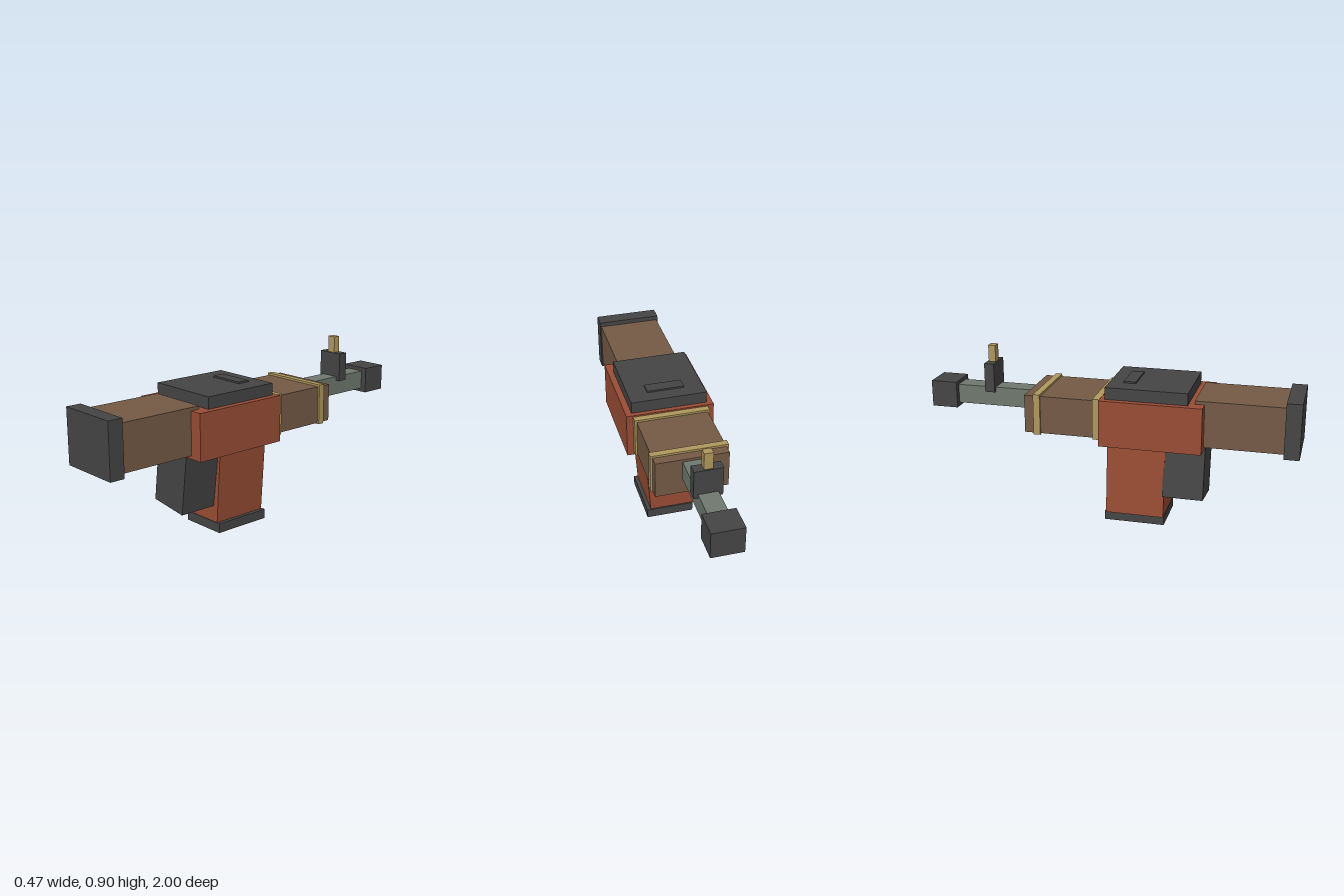
import * as THREE from 'three';

const material = (name, color) => {
  const m = new THREE.MeshStandardMaterial({ color });
  m.name = name;
  return m;
};

export function createModel() {
  const dark = material('darkMetal', 0x454545);
  const red = material('redBrown', 0x994d34);
  const wood = material('wood', 0x745a46);
  const brass = material('brass', 0xb0985d);
  const steel = material('greySteel', 0x6f786f);

  const model = new THREE.Group();
  model.name = 'blockRifle';

  // Box centred on x = 0, given its half width and its y and z ranges
  function block(name, mat, halfWidth, y0, y1, z0, z1) {
    const mesh = new THREE.Mesh(new THREE.BoxGeometry(halfWidth * 2, y1 - y0, z1 - z0), mat);
    mesh.position.set(0, (y0 + y1) / 2, (z0 + z1) / 2);
    mesh.name = name;
    model.add(mesh);
    return mesh;
  }

  // Box leaning sideways, placed by the middle of its bottom face
  function leaningBlock(name, mat, width, height, x, y, z0, z1, lean) {
    const geometry = new THREE.BoxGeometry(width, height, z1 - z0).translate(0, height / 2, 0);
    const mesh = new THREE.Mesh(geometry, mat);
    mesh.position.set(x, y, (z0 + z1) / 2);
    mesh.rotation.z = -lean;
    mesh.name = name;
    model.add(mesh);
  }

  // Stock
  block('stock', wood, 0.167, 0.475, 0.72, 0.465, 0.93);
  block('buttPlate', dark, 0.174, 0.451, 0.745, 0.92, 1);

  // Receiver and its cover
  block('receiver', red, 0.236, 0.457, 0.703, -0.02, 0.515);
  block('receiverCover', dark, 0.203, 0.69, 0.766, 0.005, 0.435);
  block('coverLatch', dark, 0.1, 0.76, 0.775, 0.08, 0.145);

  // Handguard with two bands
  block('handguard', wood, 0.191, 0.485, 0.687, -0.432, -0.01);
  for (const z of [-0.043, -0.363]) {
    block('handguardBand', brass, 0.202, 0.479, 0.698, z - 0.018, z + 0.018);
  }

  // Barrel, muzzle and front sight
  block('barrel', steel, 0.051, 0.57, 0.673, -0.87, -0.42);
  block('muzzle', dark, 0.083, 0.55, 0.693, -1, -0.857);
  block('sightBase', dark, 0.073, 0.65, 0.807, -0.695, -0.641);
  block('sightPost', brass, 0.023, 0.79, 0.897, -0.687, -0.648);

  // Leaning magazine with floor plate, and grip
  leaningBlock('magazine', red, 0.248, 0.46, -0.016, 0.038, -0.005, 0.307, 0.073);
  block('magazineFloor', dark, 0.13, 0, 0.051, -0.012, 0.31);
  leaningBlock('grip', dark, 0.225, 0.36, -0.0285, 0.1525, 0.3, 0.516, 0.13);

  return model;
}
